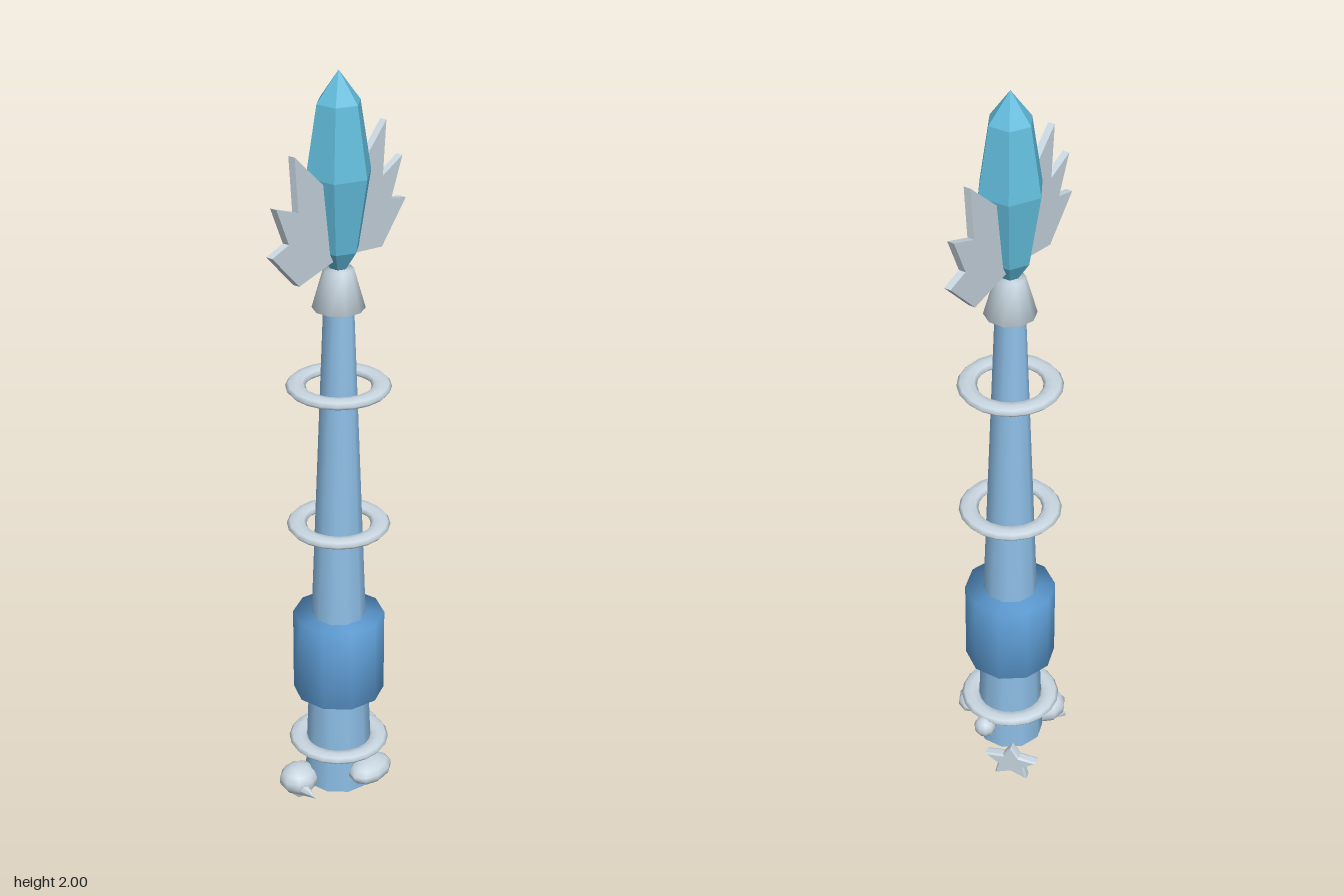
import * as THREE from 'three';
import { mergeVertices } from 'three/addons/utils/BufferGeometryUtils.js';

const flat = (name, color) => Object.assign(new THREE.MeshStandardMaterial({ color }), { name });

// Share corners between wall and caps so shading rolls softly over the rims
function soften(geometry) {
  geometry.deleteAttribute('normal');
  geometry.deleteAttribute('uv');
  const merged = mergeVertices(geometry, 1e-4);
  merged.computeVertexNormals();
  return merged;
}

export function createModel() {
  const staff = new THREE.Group();
  staff.name = 'crystalStaff';
  const paleBlue = flat('paleBlue', 0x8fc0e8);
  const gripBlue = flat('gripBlue', 0x5f9fd8);
  const crystalBlue = flat('crystalBlue', 0x62bcdc);
  const silver = flat('silver', 0xc8d6e0);
  const axisZ = -0.004;

  function add(name, geometry, material, x = 0, y = 0, z = axisZ, parent = staff) {
    const mesh = new THREE.Mesh(geometry, material);
    mesh.name = name;
    mesh.position.set(x, y, z);
    parent.add(mesh);
    return mesh;
  }
  // Tapered round part between two heights
  function column(name, material, rBottom, rTop, y0, y1) {
    const g = soften(new THREE.CylinderGeometry(rTop, rBottom, y1 - y0, 10));
    return add(name, g, material, 0, (y0 + y1) / 2);
  }

  column('shaft', paleBlue, 0.089, 0.037, 0.06, 1.43);
  column('grip', gripBlue, 0.118, 0.118, 0.34, 0.567);
  column('collar', silver, 0.065, 0.037, 1.417, 1.517);

  // Flattened rings around the shaft
  for (const y of [0.185, 0.828, 1.21]) {
    const ring = new THREE.TorusGeometry(0.106, 0.025, 8, 20);
    ring.rotateX(Math.PI / 2);
    ring.scale(1, 0.5, 1);
    add('ring', ring, silver, 0, y);
  }

  // Six-sided faceted crystal
  crystalBlue.flatShading = true;
  const profile = [[0, 1.51], [0.022, 1.52], [0.052, 1.567], [0.083, 1.753], [0.055, 1.925], [0, 2]];
  add('crystal', new THREE.LatheGeometry(profile.map(p => new THREE.Vector2(...p)), 6), crystalBlue);

  // Jagged wings on both sides of the crystal
  const wing = [[0, 1.55], [0.163, 1.524], [0.261, 1.623], [0.2, 1.638], [0.244, 1.735],
    [0.164, 1.704], [0.176, 1.84], [0.07, 1.745], [0, 1.68]];
  for (const side of [1, -1]) {
    const shape = new THREE.Shape(wing.map(([x, y]) => new THREE.Vector2(x * side, y)));
    const g = new THREE.ExtrudeGeometry(shape, { depth: 0.018, bevelEnabled: false });
    add(side > 0 ? 'leftWing' : 'rightWing', g, silver, 0, 0, axisZ - 0.009);
  }

  // Pebble on the front and pearl on the left of the foot
  const pebble = new THREE.SphereGeometry(1, 10, 7);
  pebble.scale(0.07, 0.031, 0.048);
  add('pebble', pebble, silver, 0, 0.122, 0.1);
  add('pearl', new THREE.SphereGeometry(0.029, 10, 8), silver, 0.126, 0.16);

  // Starfish at the back left of the foot
  const star = new THREE.Shape();
  for (let i = 0; i < 10; i++) {
    const a = Math.PI / 2 + i * Math.PI / 5;
    const r = i % 2 ? 0.034 : 0.07;
    star[i ? 'lineTo' : 'moveTo'](Math.cos(a) * r, Math.sin(a) * r * 0.76);
  }
  star.closePath();
  const starGeometry = new THREE.ExtrudeGeometry(star, {
    depth: 0.016, bevelEnabled: true, bevelSize: 0.004, bevelThickness: 0.006, bevelSegments: 1,
  });
  starGeometry.translate(0, 0, -0.008);
  const starfish = add('starfish', starGeometry, silver, 0.104, 0.05, -0.076);
  starfish.rotation.y = Math.PI / 2 + 0.28;

  // Spiral shell at the back right: body, pointed spire and flared lip
  const shell = new THREE.Group();
  shell.name = 'shell';
  shell.position.set(-0.103, 0.082, -0.058);
  staff.add(shell);
  const body = new THREE.SphereGeometry(1, 9, 7);
  body.scale(0.056, 0.04, 0.052);
  add('shellBody', body, silver, 0, 0, 0, shell);
  const spire = add('shellSpire', new THREE.ConeGeometry(0.03, 0.09, 7), silver, -0.025, -0.012, 0.04, shell);
  spire.rotation.set(Math.PI / 2, 0, 0.25);
  const lip = add('shellLip', new THREE.ConeGeometry(0.042, 0.07, 7), silver, 0.015, -0.024, -0.012, shell);
  lip.rotation.set(0.2, 0, -1.4);
  lip.scale.set(0.5, 1, 1);
  return staff;
}
